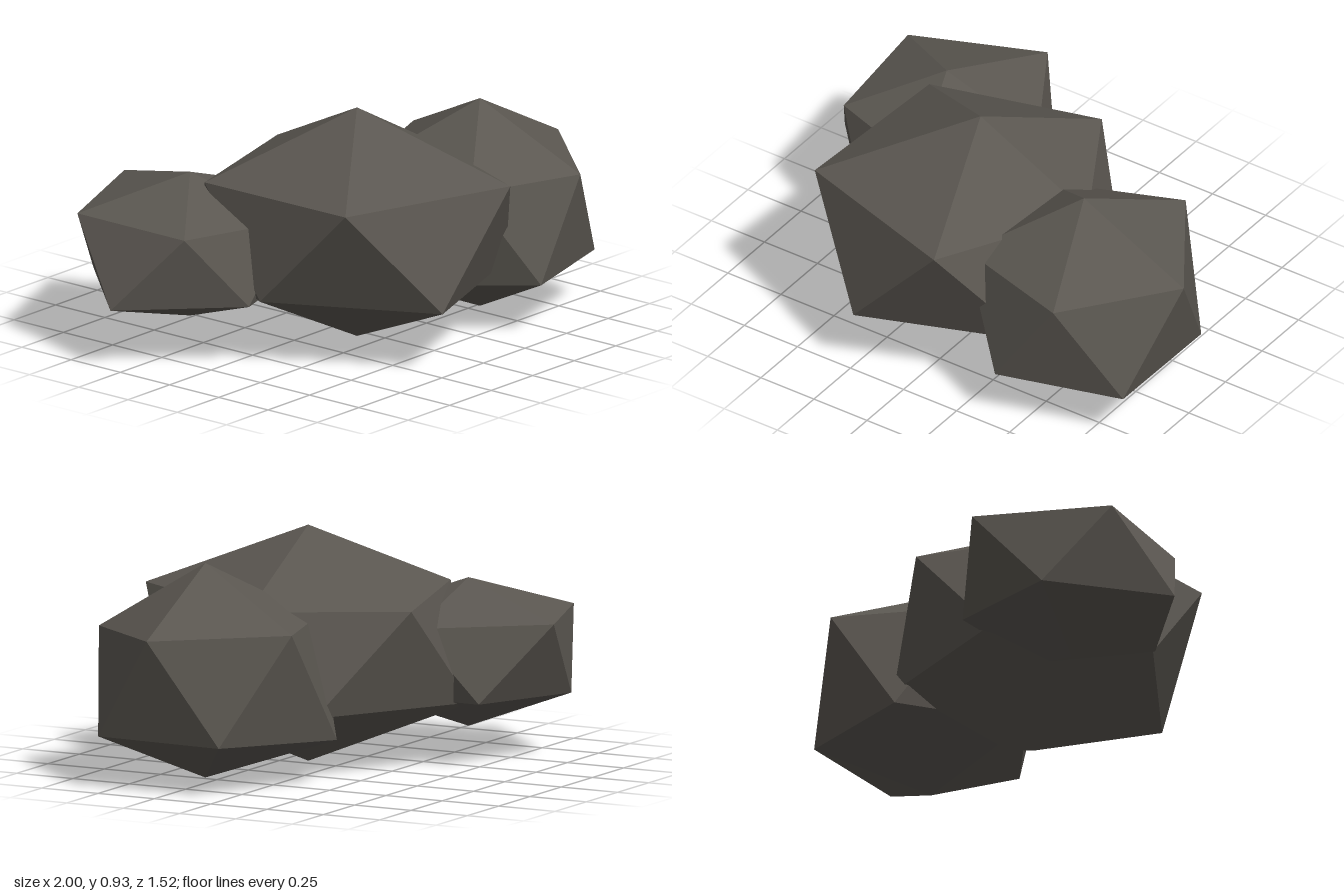
import * as THREE from 'three';

// Each boulder is a rough twenty-sided stone: two poles and two staggered
// rings of five points, both ordered by angle from +x towards +z.
const BOULDERS = [
  {
    name: 'middleBoulder',
    top: [-0.05, 0.93, 0.15],
    upper: [[0.45, 0.66, 0.14], [0.15, 0.685, 0.76], [-0.57, 0.685, 0.53], [-0.54, 0.67, -0.21], [0.135, 0.66, -0.41]],
    lower: [[0.43, 0.26, 0.5], [-0.24, 0.255, 0.745], [-0.61, 0.27, 0.13], [-0.25, 0.25, -0.46], [0.42, 0.26, -0.14]],
    bottom: [-0.05, 0, 0.15],
  },
  {
    name: 'leftBoulder',
    top: [0.53, 0.855, 0.285],
    upper: [[1, 0.615, 0.285], [0.66, 0.595, 0.685], [0.16, 0.61, 0.55], [0.15, 0.61, 0], [0.685, 0.63, -0.185]],
    lower: [[0.9, 0.205, 0.555], [0.4, 0.21, 0.705], [0.08, 0.2, 0.28], [0.37, 0.175, -0.21], [0.9, 0.2, 0.02]],
    bottom: [0.53, 0.01, 0.285],
  },
  {
    name: 'rightBoulder',
    top: [-0.52, 0.69, -0.3],
    upper: [[-0.09, 0.55, -0.3], [-0.39, 0.54, 0.1], [-0.84, 0.535, -0.06], [-0.885, 0.555, -0.565], [-0.365, 0.565, -0.765]],
    lower: [[-0.18, 0.26, -0.04], [-0.64, 0.25, 0.1], [-1, 0.24, -0.3], [-0.64, 0.25, -0.69], [-0.17, 0.26, -0.54]],
    bottom: [-0.52, 0.105, -0.3],
  },
];

// Joins the poles and rings with flat triangles
function boulderGeometry({ top, upper, lower, bottom }) {
  const corners = [];
  for (let i = 0; i < 5; i++) {
    const j = (i + 1) % 5;
    corners.push(top, upper[j], upper[i]);
    corners.push(upper[i], upper[j], lower[i]);
    corners.push(lower[i], upper[j], lower[j]);
    corners.push(bottom, lower[i], lower[j]);
  }
  const geometry = new THREE.BufferGeometry();
  geometry.setAttribute('position', new THREE.Float32BufferAttribute(corners.flat(), 3));
  geometry.computeVertexNormals();
  return geometry;
}

export function createModel() {
  const stone = new THREE.MeshStandardMaterial({ color: 0x5b5751, flatShading: true });
  stone.name = 'stone';

  const group = new THREE.Group();
  group.name = 'boulderCluster';
  for (const boulder of BOULDERS) {
    const mesh = new THREE.Mesh(boulderGeometry(boulder), stone);
    mesh.name = boulder.name;
    group.add(mesh);
  }
  return group;
}
